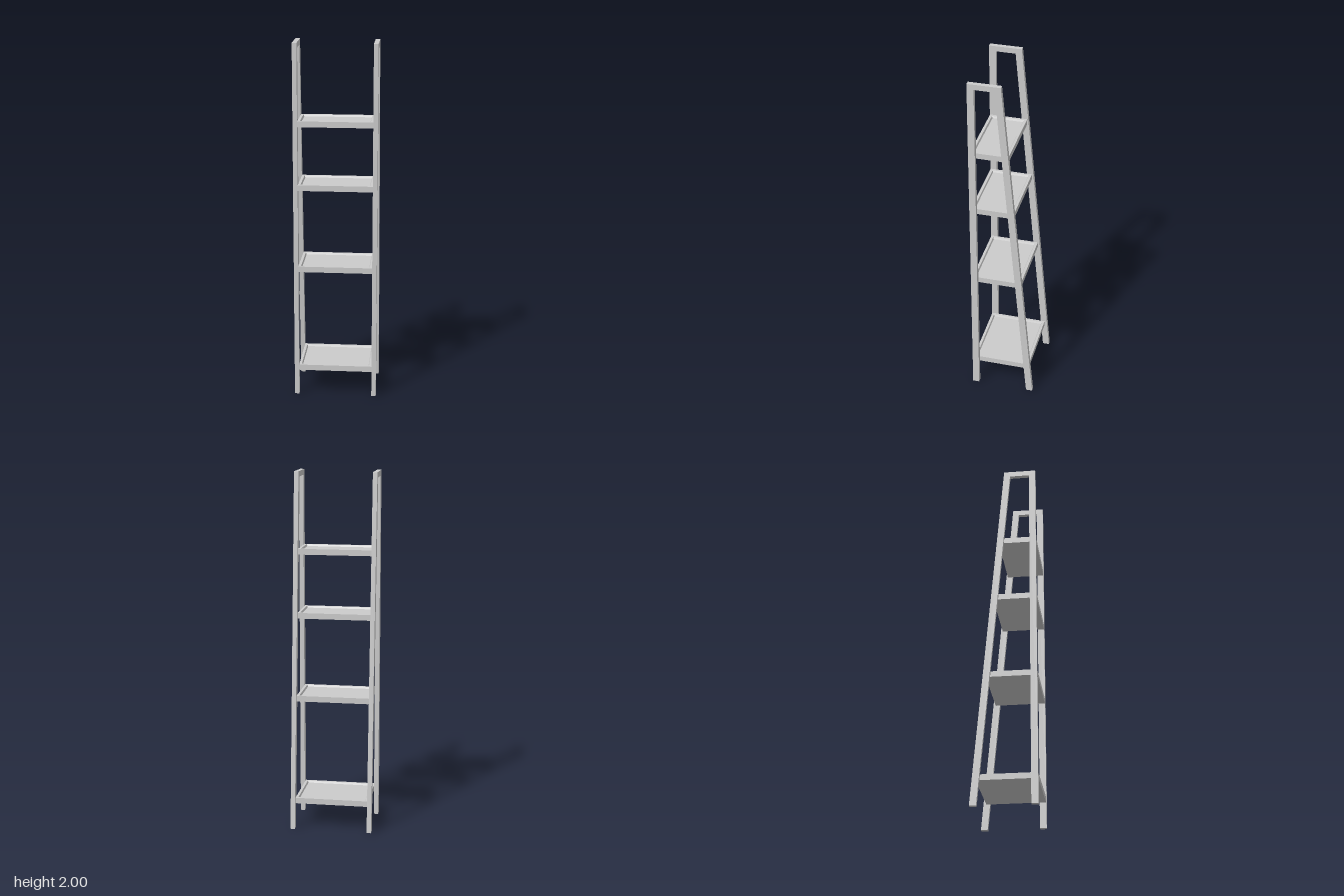
import * as THREE from 'three';

const material = new THREE.MeshStandardMaterial({ color: 0xcccccc, side: THREE.DoubleSide });
const INNER = 0.205, OUTER = 0.23, FRONT = 0.18;

// Side frame: upright front post, short top bar and sloping rear leg in one outline (z, y)
function sideFrame(name, x) {
  const outline = [
    [FRONT, 0], [FRONT, 2], [0, 2], [-FRONT, 0],
    [-0.143, 0], [0.034, 1.97], [0.143, 1.97], [0.143, 0],
  ].map(([z, y]) => new THREE.Vector2(z, y));
  const geometry = new THREE.ExtrudeGeometry(new THREE.Shape(outline), {
    depth: OUTER - INNER, bevelEnabled: false,
  });
  geometry.rotateY(-Math.PI / 2);
  const mesh = new THREE.Mesh(geometry, material);
  mesh.name = name;
  mesh.position.x = x;
  return mesh;
}

// Tray shelf: four rectangular rings joined by walls, closed below and at the sunken floor
function trayShelf(name, y, back) {
  const front = FRONT - 0.002, thickness = 0.032, recess = 0.01;
  const rings = [
    { inset: 0, h: 0 },
    { inset: 0, h: thickness },
    { inset: 0.014, h: thickness },
    { inset: 0.019, h: thickness - recess },
  ];
  const positions = [], indices = [];
  for (const { inset, h } of rings) {
    const x = INNER - inset;
    positions.push(
      -x, h, front - inset, x, h, front - inset,
      x, h, back + inset, -x, h, back + inset,
    );
  }
  for (let r = 0; r < rings.length - 1; r++) {
    for (let i = 0; i < 4; i++) {
      const a = r * 4 + i, b = r * 4 + (i + 1) % 4;
      indices.push(a, b, b + 4, a, b + 4, a + 4);
    }
  }
  const top = (rings.length - 1) * 4;
  indices.push(0, 2, 1, 0, 3, 2, top, top + 1, top + 2, top, top + 2, top + 3);
  const indexed = new THREE.BufferGeometry();
  indexed.setAttribute('position', new THREE.Float32BufferAttribute(positions, 3));
  indexed.setIndex(indices);
  const geometry = indexed.toNonIndexed();
  geometry.computeVertexNormals();
  const mesh = new THREE.Mesh(geometry, material);
  mesh.name = name;
  mesh.position.y = y;
  return mesh;
}

export function createModel() {
  const model = new THREE.Group();
  model.name = 'ladderShelf';
  model.add(sideFrame('leftFrame', OUTER), sideFrame('rightFrame', -INNER));

  // Shelves get shallower towards the top, following the rear legs
  const heights = [0.144, 0.727, 1.192, 1.546];
  heights.forEach((y, i) => {
    model.add(trayShelf(`shelf${i + 1}`, y, -0.163 + 0.0845 * y));
  });
  return model;
}
